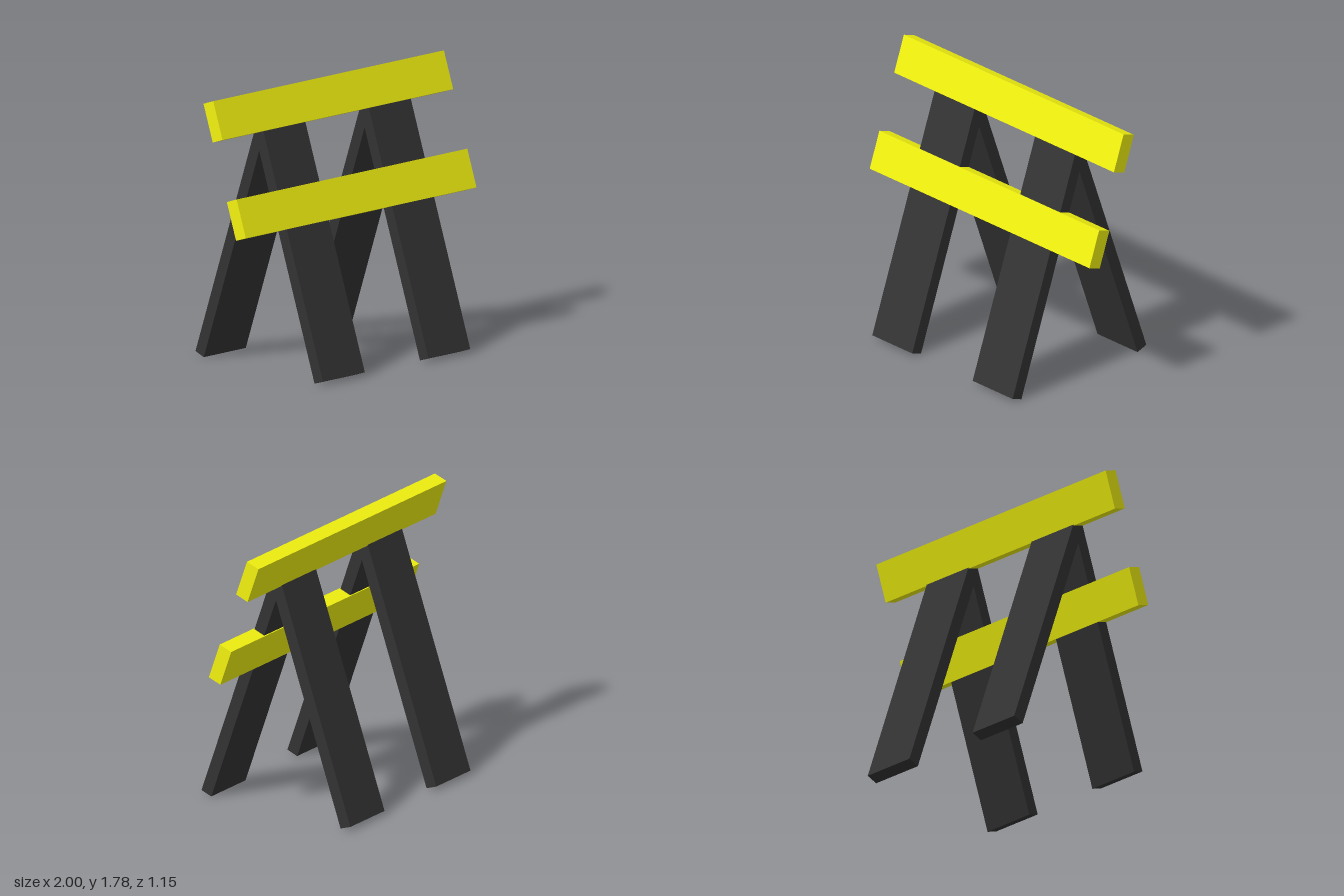
import * as THREE from 'three';

const LEAN = THREE.MathUtils.degToRad(19.5);

export function createModel() {
  const model = new THREE.Group();
  const yellow = new THREE.MeshStandardMaterial({ color: 0xf2f210 });
  const dark = new THREE.MeshStandardMaterial({ color: 0x333333 });

  // Plank centred at (x, y, z); tilt about x, negative leans its top backwards
  function plank(name, size, position, tilt, material) {
    const mesh = new THREE.Mesh(new THREE.BoxGeometry(...size), material);
    mesh.name = name;
    mesh.position.set(...position);
    mesh.rotation.x = tilt;
    model.add(mesh);
  }

  // Two A-frames, their legs meeting under the top board
  const legLength = 1.61;
  const footZ = 0.538;
  const footY = 0.04 * Math.sin(LEAN);
  const midY = footY + (legLength / 2) * Math.cos(LEAN);
  const midZ = footZ - (legLength / 2) * Math.sin(LEAN);
  for (const side of [1, -1]) {
    const sideName = side > 0 ? 'left' : 'right';
    const size = [0.364, legLength, 0.08];
    plank(sideName + 'FrontLeg', size, [side * 0.457, midY, midZ], -LEAN, dark);
    plank(sideName + 'BackLeg', size, [side * 0.457, midY, -midZ], LEAN, dark);
  }

  // Barrier boards, in line with the front legs
  plank('topBoard', [2, 0.25, 0.094], [0, 1.65, -0.041], -LEAN, yellow);
  plank('lowerBoard', [2, 0.25, 0.094], [0, 1.054, 0.17], -LEAN, yellow);

  return model;
}
